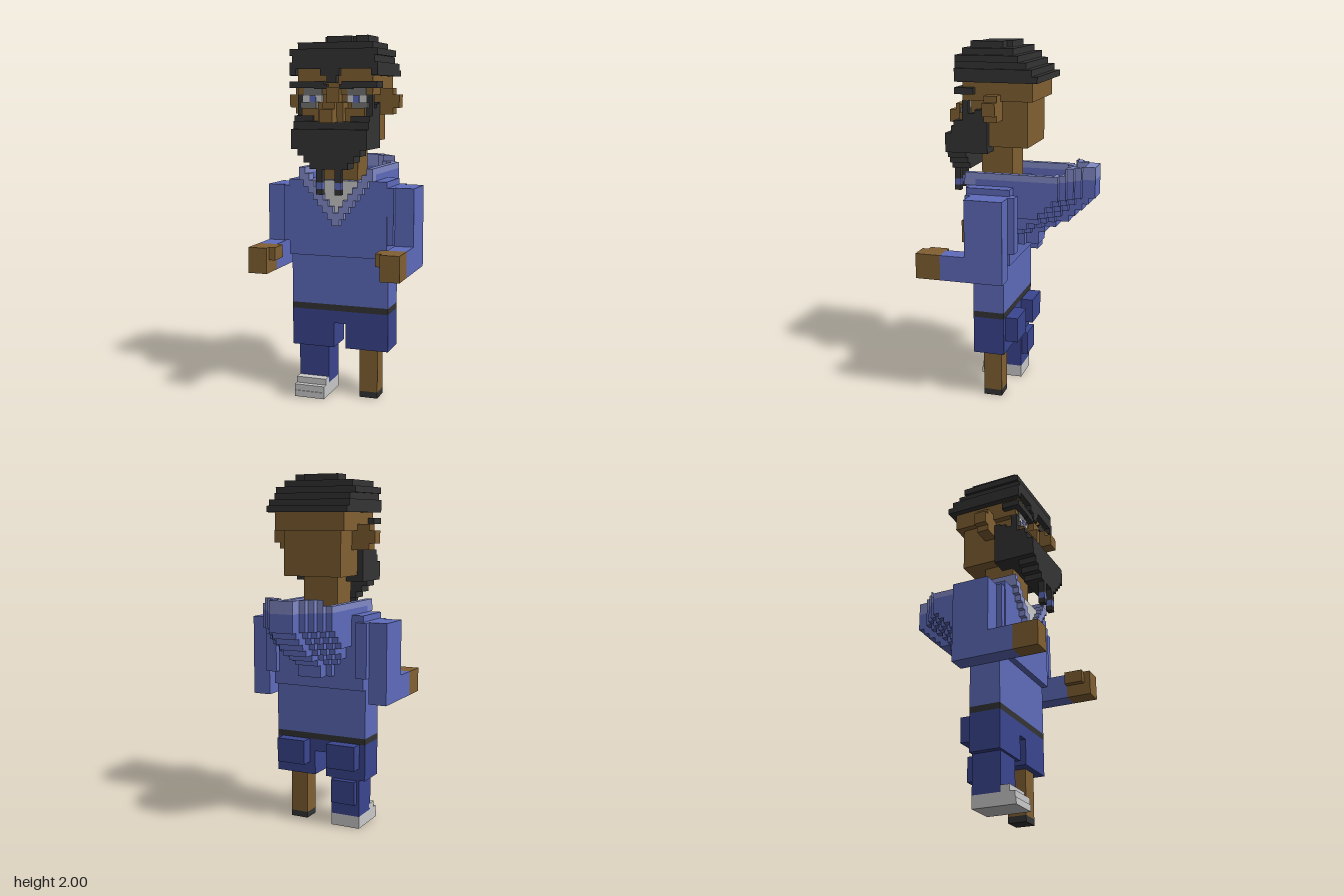
import * as THREE from 'three';

const mat = (name, color) => Object.assign(new THREE.MeshStandardMaterial({ color }), { name });
const blue = mat('hoodieBlue', 0x5f6cbd), light = mat('hoodTrim', 0x828bc8), navy = mat('shortsNavy', 0x3b4690);
const skin = mat('skin', 0x826133), black = mat('hairBlack', 0x343434), white = mat('offWhite', 0xcbcbcb);
const grey = mat('eyeShadowGrey', 0x757575);

const U = 0.035; // cube size

export function createModel() {
  const root = new THREE.Group();
  root.name = 'beardedFigure';

  const box = (name, m, x0, x1, y0, y1, z0, z1) => {
    const mesh = new THREE.Mesh(new THREE.BoxGeometry(x1 - x0, y1 - y0, z1 - z0), m);
    mesh.position.set((x0 + x1) / 2, (y0 + y1) / 2, (z0 + z1) / 2);
    mesh.name = name;
    root.add(mesh);
  };
  const mid = (name, m, hw, y0, y1, z0, z1) => box(name, m, -hw, hw, y0, y1, z0, z1);
  const pair = (name, m, x0, x1, ...r) => {
    box(name + 'Left', m, x0, x1, ...r);
    box(name + 'Right', m, -x1, -x0, ...r);
  };

  // Legs: shoe on the right, wooden peg on the left
  box('shoeSole', white, -0.245, -0.07, 0, 0.035, 0, 0.245);
  box('shoe', white, -0.245, -0.07, 0.035, 0.07, 0, 0.24);
  box('shoeTongue', white, -0.245, -0.07, 0.07, 0.105, 0.14, 0.21);
  box('trouserLeg', navy, -0.245, -0.07, 0.07, 0.285, 0, 0.16);
  box('trouserCalf', navy, -0.23, -0.085, 0.145, 0.28, -0.035, 0);
  box('pegLeg', skin, 0.105, 0.21, 0.035, 0.29, 0.035, 0.14);
  box('pegTip', black, 0.105, 0.21, 0, 0.035, 0.035, 0.14);

  // Shorts and belt
  pair('shortsLeg', navy, 0.035, 0.28, 0.285, 0.425, 0, 0.175);
  mid('shortsTop', navy, 0.28, 0.425, 0.495, 0, 0.175);
  pair('backPocket', navy, 0.07, 0.245, 0.355, 0.495, -0.07, 0);
  mid('belt', black, 0.28, 0.495, 0.53, 0, 0.175);

  // Torso
  mid('waist', blue, 0.28, 0.53, 0.81, 0, 0.175);
  mid('chest', blue, 0.28, 0.81, 1.23, -0.035, 0.21);
  pair('shoulder', blue, 0.25, 0.315, 0.885, 1.195, -0.07, 0.205);

  // Arms held forward
  pair('upperArm', blue, 0.315, 0.42, 0.74, 1.195, -0.035, 0.175);
  pair('forearm', blue, 0.315, 0.42, 0.74, 0.88, 0.175, 0.315);
  pair('hand', skin, 0.315, 0.42, 0.74, 0.88, 0.315, 0.455);
  pair('thumb', skin, 0.28, 0.315, 0.81, 0.88, 0.315, 0.42);

  // V neck with stepped trim around the undershirt
  for (let i = 0; i < 8; i++) {
    const y1 = 1.265 - i * U, out = 0.21 - i * 0.027, inn = Math.max(out - 0.06, 0);
    pair('neckTrim', light, inn, out, y1 - U, y1, 0.18, 0.245);
    if (inn > 0 && i > 0) mid('undershirt', white, inn, y1 - U, y1, 0.2, 0.218);
  }

  // Hood: stepped outlines narrowing to the back, stacked in layers
  const side = (start, back, max) => {
    const pts = [];
    let s = start;
    for (let hw = max; hw > 0.069; hw -= U) {
      const end = hw < 0.075 ? back : back - (hw - 0.07) - U;
      if (end <= s + 0.001) continue;
      pts.push([hw, s], [hw, end]);
      s = end;
    }
    return pts;
  };
  const outline = (start, back, max) => {
    const r = side(start, back, max);
    return [...r, ...r.map(([x, s]) => [-x, s]).reverse()];
  };
  const hoodLayer = (name, m, y0, y1, start, back, max, open) => {
    let pts = outline(start, back, max);
    if (open) pts = [...pts, ...outline(start, back - 0.06, max - U).reverse()];
    const shape = new THREE.Shape(pts.map(([x, s]) => new THREE.Vector2(x, s)));
    const g = new THREE.ExtrudeGeometry(shape, { depth: y1 - y0, bevelEnabled: false });
    g.rotateX(-Math.PI / 2);
    const mesh = new THREE.Mesh(g, m);
    mesh.position.y = y0;
    mesh.name = name;
    root.add(mesh);
  };
  hoodLayer('hoodRimBack', light, 1.3, 1.335, 0.31, 0.455, 0.175, true);
  hoodLayer('hoodRim', light, 1.265, 1.3, -0.24, 0.455, 0.21, true);
  hoodLayer('hoodWall', blue, 1.165, 1.265, -0.18, 0.455, 0.21, true);
  const backs = [0.42, 0.385, 0.345, 0.31, 0.24, 0.175, 0.14, 0.14];
  backs.forEach((b, k) => {
    const y = 1.165 - k * U;
    hoodLayer('hoodBag', blue, y - U, y, 0.03, b, k < 3 ? 0.21 : k < 5 ? 0.175 : 0.14, false);
  });

  // Head
  mid('neck', skin, 0.105, 1.22, 1.45, 0, 0.175);
  mid('head', skin, 0.175, 1.44, 1.69, -0.105, 0.235);
  mid('upperHead', skin, 0.21, 1.69, 1.83, -0.14, 0.245);
  pair('earInner', skin, 0.17, 0.28, 1.585, 1.725, 0.035, 0.105);
  pair('earOuter', skin, 0.28, 0.315, 1.62, 1.69, 0.035, 0.105);
  pair('cheek', skin, 0.07, 0.175, 1.55, 1.62, 0.2, 0.28);

  // Nose
  mid('noseBridge', skin, 0.035, 1.62, 1.73, 0.22, 0.28);
  mid('noseSides', skin, 0.07, 1.545, 1.65, 0.22, 0.315);
  mid('noseMiddle', skin, 0.035, 1.615, 1.65, 0.3, 0.35);
  mid('noseTip', skin, 0.035, 1.545, 1.615, 0.3, 0.385);

  // Eyes and brows
  pair('eyelid', grey, 0.07, 0.175, 1.685, 1.725, 0.22, 0.25);
  pair('eyeWhite', white, 0.07, 0.178, 1.65, 1.685, 0.21, 0.255);
  pair('iris', blue, 0.105, 0.14, 1.65, 1.685, 0.255, 0.26);
  pair('lowerLid', grey, 0.1, 0.19, 1.62, 1.65, 0.21, 0.265);
  pair('brow', black, 0.05, 0.245, 1.725, 1.76, 0.175, 0.28);
  pair('browInner', black, 0.035, 0.105, 1.72, 1.745, 0.24, 0.28);

  // Beard: sideburn steps, then a tapering block and two beaded strands
  [[0.11, 1.65], [0.145, 1.64], [0.18, 1.62], [0.215, 1.6], [0.25, 1.58]].forEach(([z, top]) =>
    pair('sideburn', black, 0.17, 0.21, 1.5, top, z, z + U));
  pair('sideburnFront', black, 0.175, 0.21, 1.58, 1.69, 0.215, 0.25);
  pair('moustacheEnd', black, 0.105, 0.21, 1.54, 1.58, 0.22, 0.3);
  mid('beardTop', black, 0.21, 1.51, 1.55, 0.11, 0.315);
  mid('beard', black, 0.21, 1.405, 1.51, 0.11, 0.35);
  [0.175, 0.14, 0.105].forEach((hw, i) =>
    mid('beardTip', black, hw, 1.37 - i * U, 1.405 - i * U, 0.245, 0.35));
  pair('beardStrand', black, 0.035, 0.07, 1.23, 1.3, 0.315, 0.35);
  pair('strandBead', blue, 0.035, 0.07, 1.195, 1.23, 0.315, 0.35);
  pair('strandEnd', black, 0.035, 0.07, 1.165, 1.195, 0.315, 0.35);

  // Hair: stacked layers [half width, back, front]
  [[0.245, -0.175, 0.24], [0.245, -0.145, 0.28], [0.23, -0.11, 0.28],
    [0.245, -0.07, 0.275], [0.21, -0.035, 0.245]].forEach(([hw, z0, z1], i) =>
    mid('hairLayer', black, hw, 1.79 + i * U, 1.825 + i * U, z0, z1));
  pair('hairTemple', black, 0.21, 0.245, 1.79, 1.825, 0.2, 0.28);
  box('hairPeakWide', black, -0.07, 0.035, 1.79, 1.83, 0.24, 0.28);
  box('hairPeak', black, -0.035, 0.02, 1.75, 1.79, 0.24, 0.28);

  // Uneven crown tufts [x0, x1, z0, z1]
  [[-0.105, 0.105, 0, 0.105], [0.03, 0.175, 0.03, 0.14], [-0.07, 0.07, 0.105, 0.175],
    [0.105, 0.175, 0.14, 0.21]].forEach(([x0, x1, z0, z1]) =>
    box('crownTuft', black, x0, x1, 1.96, 2, z0, z1));

  return root;
}
